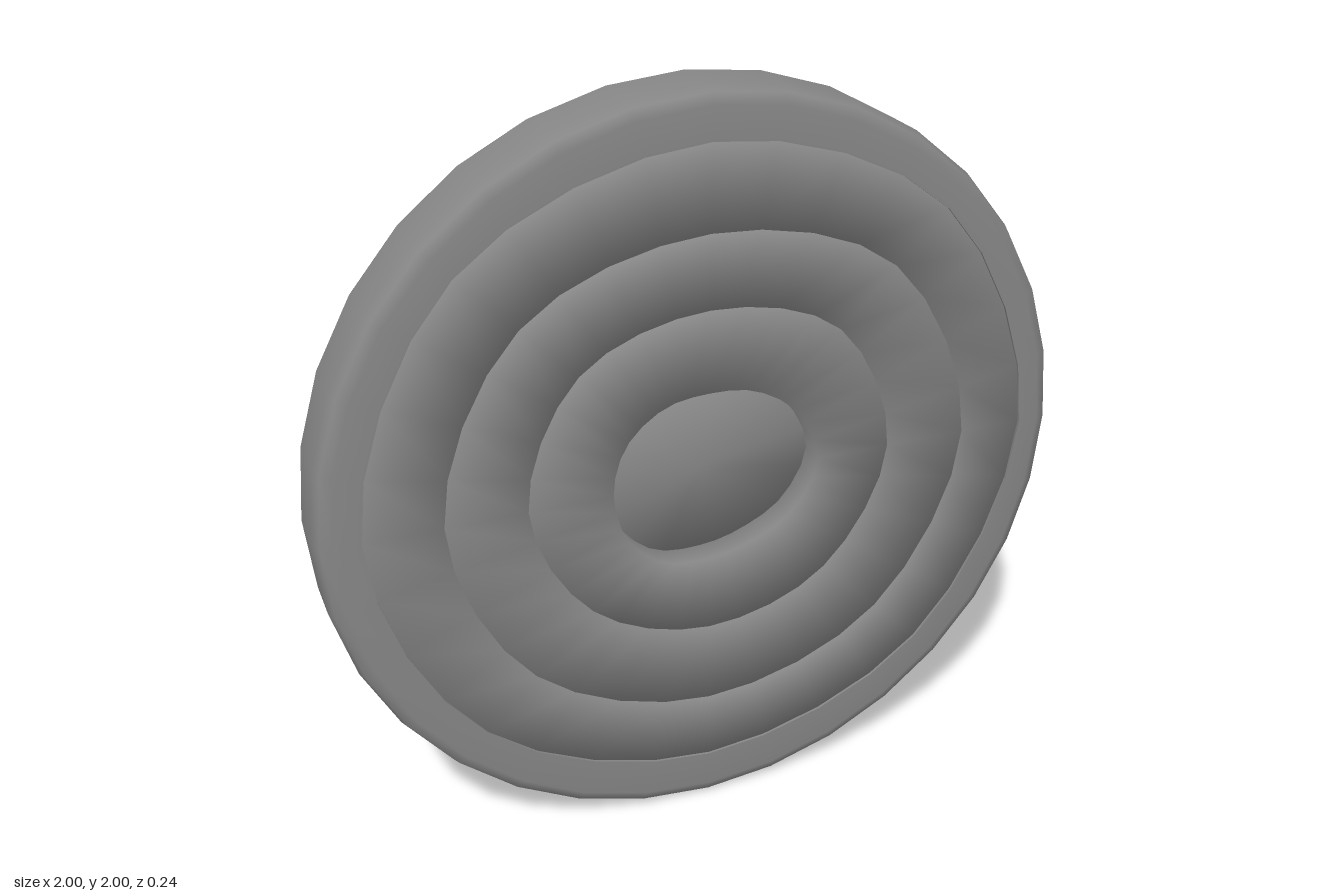
import * as THREE from 'three';

const SIDES = 32;
const material = new THREE.MeshStandardMaterial({ color: 0x868686, side: THREE.DoubleSide });

// Closed hand-shaped outline through radii spaced evenly around the centre
function outline(radii) {
  const pts = radii.map((r, i) => {
    const a = (i / radii.length) * Math.PI * 2;
    return new THREE.Vector3(r * Math.cos(a), r * Math.sin(a), 0);
  });
  const curve = new THREE.CatmullRomCurve3(pts, true, 'catmullrom');
  return Array.from({ length: SIDES }, (_, i) => curve.getPoint(i / SIDES));
}

function circle(r) {
  return Array.from({ length: SIDES }, (_, i) => {
    const a = (i / SIDES) * Math.PI * 2;
    return new THREE.Vector3(r * Math.cos(a), r * Math.sin(a), 0);
  });
}

// Skin of shared vertices over [outline, z] loops, so edges shade softly
function skin(name, loops, closed = false) {
  const pos = [], index = [];
  loops.forEach(([line, z]) => line.forEach((p) => pos.push(p.x, p.y + 1, z)));
  const bands = closed ? loops.length : loops.length - 1;
  for (let j = 0; j < bands; j++) {
    const k = (j + 1) % loops.length;
    for (let i = 0; i < SIDES; i++) {
      const n = (i + 1) % SIDES;
      const a = j * SIDES + i, b = j * SIDES + n, c = k * SIDES + n, d = k * SIDES + i;
      index.push(a, b, c, a, c, d);
    }
  }
  const geo = new THREE.BufferGeometry();
  geo.setAttribute('position', new THREE.Float32BufferAttribute(pos, 3));
  geo.setIndex(index);
  geo.computeVertexNormals();
  const mesh = new THREE.Mesh(geo, material);
  mesh.name = name;
  return mesh;
}

export function createModel() {
  const model = new THREE.Group();
  model.name = 'ringedDisc';

  // Outlines from the rim inwards, starting at +x and turning towards +y
  const lines = [
    outline([0.905, 0.9, 0.875, 0.89, 0.89, 0.875, 0.86, 0.885]),
    outline([0.73, 0.71, 0.652, 0.68, 0.69, 0.68, 0.672, 0.70]),
    outline([0.505, 0.5, 0.458, 0.48, 0.48, 0.455, 0.445, 0.47]),
    outline([0.303, 0.28, 0.255, 0.238, 0.25, 0.26, 0.26, 0.26, 0.255, 0.235, 0.24, 0.274]),
  ];

  // Rim: rounded outer shell plus a sharp inner wall
  const rim = new THREE.Group();
  rim.name = 'rim';
  const back = -0.105, front = 0.12;
  rim.add(
    skin('rimShell', [
      [lines[0], back], [circle(0.96), back], [circle(0.988), back + 0.012], [circle(1), back + 0.045],
      [circle(1), front - 0.045], [circle(0.988), front - 0.012], [circle(0.96), front], [lines[0], front],
    ]),
    skin('rimInnerWall', [[lines[0], front], [lines[0], back]]),
  );
  model.add(rim);

  // Three flat rings with soft-shaded edges, set just below the rim
  ['outerRing', 'middleRing', 'innerRing'].forEach((name, i) => {
    const z0 = -0.085, z1 = 0.113;
    const outer = lines[i], inner = lines[i + 1];
    model.add(skin(name, [[outer, z0], [outer, z1], [inner, z1], [inner, z0]], true));
  });

  // Centre plug: sunk at the front, standing proud at the back
  const hub = circle(0);
  model.add(skin('centrePlug', [[hub, -0.12], [lines[3], -0.12], [lines[3], 0.04], [hub, 0.04]]));

  return model;
}
